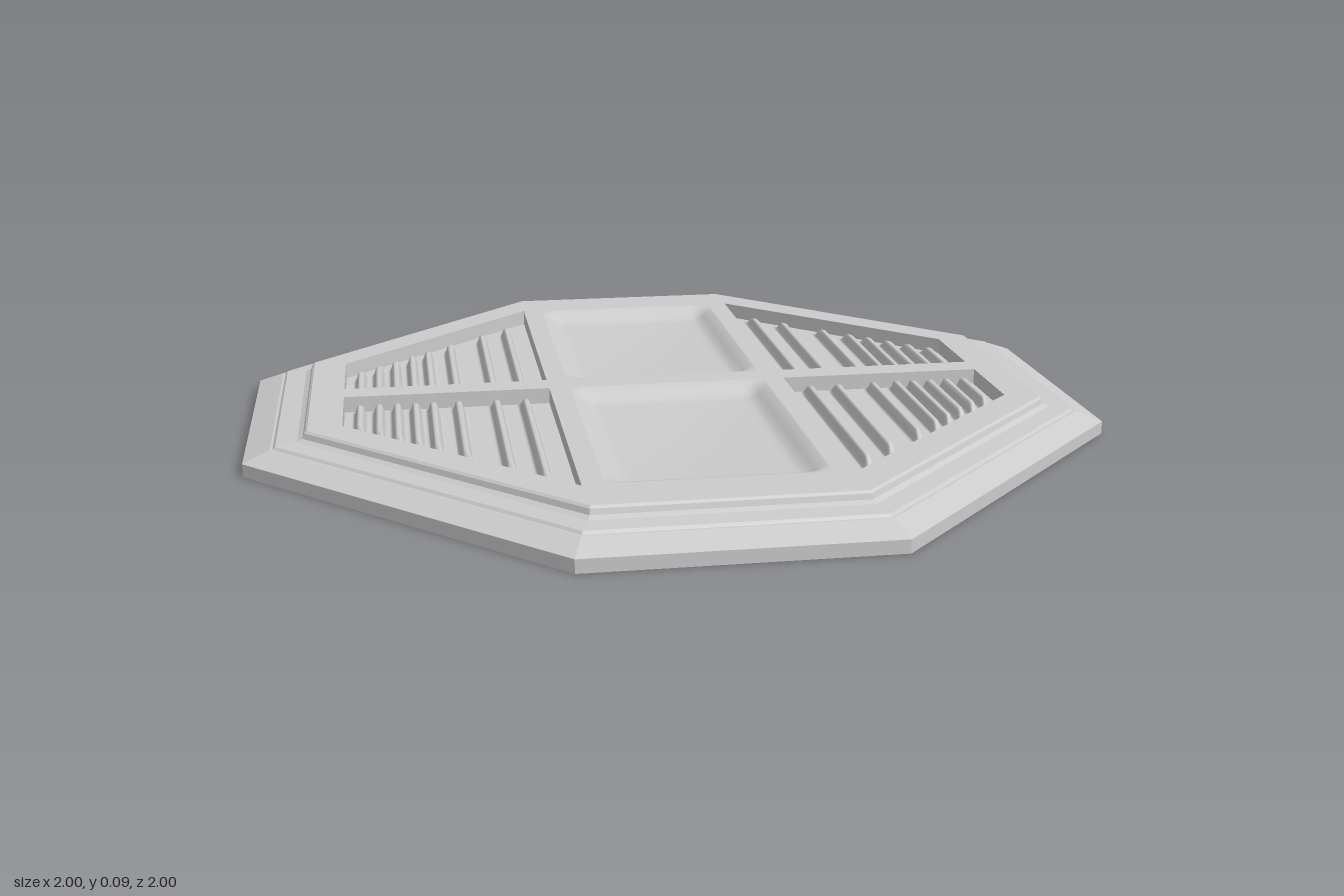
import * as THREE from 'three';

const TOP = 0.085, FLOOR = 0.04;
const CORNER = 0.333; // corner position as a share of the half width
const material = new THREE.MeshStandardMaterial({ color: 0xcccccc });
const flatMaterial = new THREE.MeshStandardMaterial({ color: 0xcccccc, flatShading: true });

// Eight corners of the plate, counter-clockwise, scaled to half width r
function octagon(r) {
  const c = CORNER * r;
  return [[r, -c], [r, c], [c, r], [-c, r], [-r, c], [-r, -c], [-c, -r], [c, -r]]
    .map(([x, y]) => new THREE.Vector2(x, y));
}

// Stepped rim: octagon rings joined along a [half width, height] profile
function rimGeometry(profile) {
  const positions = [];
  const rings = profile.map(([r, y]) => octagon(r).map(p => [p.x, y, -p.y]));
  for (let k = 0; k < rings.length - 1; k++) {
    for (let i = 0; i < 8; i++) {
      const j = (i + 1) % 8;
      const a = rings[k][i], b = rings[k][j], c = rings[k + 1][j], d = rings[k + 1][i];
      positions.push(...a, ...b, ...c, ...a, ...c, ...d);
    }
  }
  const g = new THREE.BufferGeometry();
  g.setAttribute('position', new THREE.Float32BufferAttribute(positions, 3));
  g.computeVertexNormals();
  return g;
}

// Flat sheet of cells whose vertices are placed by rule(u, v) => [x, y, z]
function sheet(nu, nv, rule) {
  const g = new THREE.PlaneGeometry(1, 1, nu, nv).rotateX(-Math.PI / 2);
  const p = g.attributes.position;
  for (let i = 0; i < p.count; i++) p.setXYZ(i, ...rule(p.getX(i) + 0.5, p.getZ(i) + 0.5));
  g.computeVertexNormals();
  return g;
}

const smooth = (x, a, b) => THREE.MathUtils.smoothstep(x, a, b);

// Vent opening: straight sides, cut off by the diagonal rim
const VENT = { x0: 0.29, x1: 0.78, z0: 0.035, zLong: 0.74, zShort: 0.26 };
const ventEdge = x => THREE.MathUtils.mapLinear(x, VENT.x0, VENT.x1, VENT.zLong, VENT.zShort);
const RIBS = [0.35, 0.42, 0.51, 0.57, 0.612, 0.655, 0.698, 0.742];

// Vent floor with raised ribs that taper off before the walls
function ventRule(u, v) {
  const x = VENT.x0 + u * (VENT.x1 - VENT.x0);
  const end = ventEdge(x);
  const z = VENT.z0 + v * (end - VENT.z0);
  let ridge = 0;
  for (const r of RIBS) ridge = Math.max(ridge, 1 - smooth(Math.abs(x - r), 0.005, 0.016));
  const fade = smooth(z, VENT.z0 + 0.005, VENT.z0 + 0.03) * (1 - smooth(z, end - 0.075, end - 0.03));
  return [x, FLOOR + 0.007 + 0.026 * ridge * fade, z];
}

// Dished panel with soft sloping borders and a hollow floor
const DISH = { x: 0.24, z0: 0.035, z1: 0.735 };
function dishRule(u, v) {
  const x = (u * 2 - 1) * DISH.x;
  const z = DISH.z0 + v * (DISH.z1 - DISH.z0);
  const border = smooth(DISH.x - Math.abs(x), 0, 0.05) * smooth(Math.min(z - DISH.z0, DISH.z1 - z), 0, 0.065);
  const hollow = 16 * u * (1 - u) * v * (1 - v);
  return [x, TOP - 0.026 * border - 0.012 * hollow, z];
}

export function createModel() {
  const group = new THREE.Group();
  const add = (name, geometry, mat = material) => {
    const mesh = new THREE.Mesh(geometry, mat);
    mesh.name = name;
    group.add(mesh);
    return mesh;
  };

  // Stepped outer rim
  add('rim', rimGeometry([
    [1, 0], [1, 0.03], [0.94, 0.053], [0.934, 0.053], [0.928, 0.059],
    [0.88, 0.062], [0.868, 0.068], [0.864, 0.08], [0.858, TOP],
  ]), flatMaterial);

  // Underside
  add('underside', new THREE.ShapeGeometry(new THREE.Shape(octagon(1))).rotateX(Math.PI / 2), flatMaterial);

  // Top deck with four vent openings and two panel openings
  const deck = new THREE.Shape(octagon(0.858));
  const cut = corners => deck.holes.push(new THREE.Path(corners.map(([x, y]) => new THREE.Vector2(x, y))));
  const { x0, x1, z0, zLong, zShort } = VENT;
  for (const sz of [1, -1]) {
    for (const sx of [1, -1]) {
      cut([[x0, z0], [x1, z0], [x1, zShort], [x0, zLong]].map(([x, z]) => [sx * x, sz * z]));
    }
    cut([[-DISH.x, DISH.z0], [DISH.x, DISH.z0], [DISH.x, DISH.z1], [-DISH.x, DISH.z1]]
      .map(([x, z]) => [x, sz * z]));
  }
  const deckGeometry = new THREE.ExtrudeGeometry(deck, { depth: TOP - FLOOR, bevelEnabled: false });
  add('deck', deckGeometry.rotateX(-Math.PI / 2).translate(0, FLOOR, 0), flatMaterial);

  // Ribbed vents and dished panels, mirrored around the centre
  const vent = sheet(140, 32, ventRule);
  const dish = sheet(36, 48, dishRule);
  for (const sz of [1, -1]) {
    for (const sx of [1, -1]) {
      add(`${sz > 0 ? 'front' : 'back'}${sx > 0 ? 'Left' : 'Right'}Vent`, vent).scale.set(sx, 1, sz);
    }
    add(sz > 0 ? 'frontPanel' : 'backPanel', dish).rotation.y = sz > 0 ? 0 : Math.PI;
  }
  return group;
}
